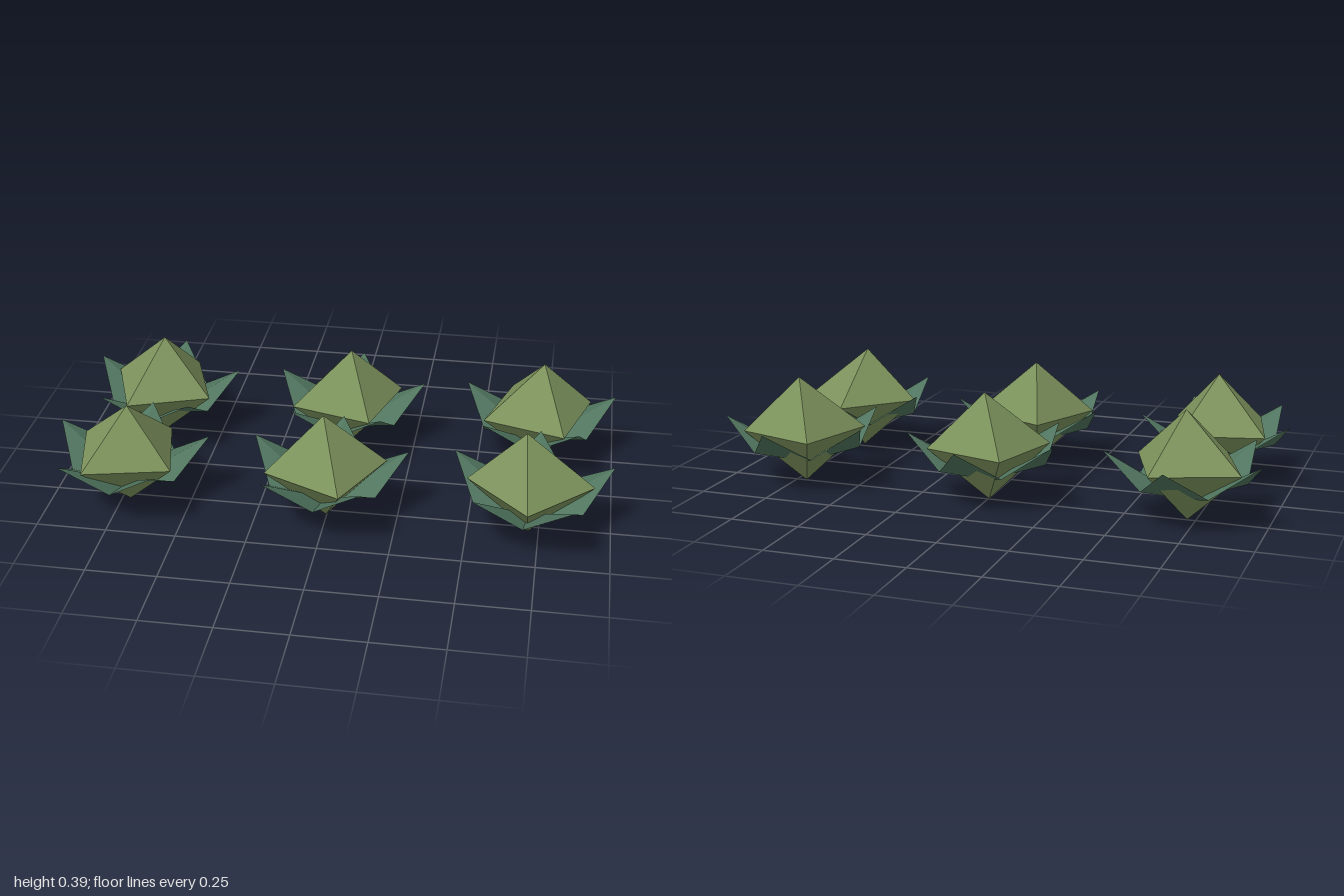
import * as THREE from 'three';

const headMat = new THREE.MeshStandardMaterial({ color: 0x7c925c, flatShading: true });
headMat.name = 'olive green';
const leafMat = new THREE.MeshStandardMaterial({ color: 0x50755f, flatShading: true, side: THREE.DoubleSide });
leafMat.name = 'blue green';

const rad = THREE.MathUtils.degToRad;

// point at a clockwise angle from the back, seen from above
const polar = (deg, r, y) => [r * Math.sin(rad(deg)), y, -r * Math.cos(rad(deg))];

// faceted head: an octahedron whose top point leans a little
function headGeometry(yaw, leanX, leanZ) {
  const g = new THREE.OctahedronGeometry(1, 0);
  g.scale(0.22, 0.194, 0.22);
  g.rotateY(-rad(yaw));
  g.translate(0, 0.196, 0);
  const p = g.attributes.position;
  for (let i = 0; i < p.count; i++) {
    if (p.getY(i) > 0.3) p.setXYZ(i, p.getX(i) + leanX, p.getY(i), p.getZ(i) + leanZ);
    if (p.getY(i) < 0.1) p.setY(i, 0);
  }
  g.computeVertexNormals();
  return g;
}

// one folded leaf: raised midrib, low side corners
function leafGeometry(deg) {
  const base = [0, 0.07, 0];
  const tip = polar(deg, 0.294, 0.241);
  const left = polar(deg - 36, 0.2, 0.13);
  const right = polar(deg + 36, 0.2, 0.13);
  const g = new THREE.BufferGeometry();
  g.setAttribute('position', new THREE.Float32BufferAttribute(
    [base, tip, left, base, right, tip].flat(), 3));
  g.computeVertexNormals();
  return g;
}

export function createModel() {
  const model = new THREE.Group();
  model.name = 'plantRows';
  // x, z, head yaw, lean of the top point
  const plants = [
    [-0.72, -0.247, 25, 0.01, -0.012],
    [-0.003, -0.247, -29, 0.012, -0.008],
    [0.713, -0.247, -28, 0.014, -0.006],
    [-0.72, 0.277, 32, 0.014, 0.016],
    [-0.003, 0.277, -20, -0.01, -0.018],
    [0.713, 0.277, 0, -0.022, 0],
  ];
  const leaves = [0, 1, 2, 3, 4].map((i) => leafGeometry(4 + 72 * i));

  for (const [x, z, yaw, leanX, leanZ] of plants) {
    const plant = new THREE.Group();
    plant.name = 'plant';
    const head = new THREE.Mesh(headGeometry(yaw, leanX, leanZ), headMat);
    head.name = 'head';
    plant.add(head);
    for (const g of leaves) {
      const leaf = new THREE.Mesh(g, leafMat);
      leaf.name = 'leaf';
      plant.add(leaf);
    }
    plant.position.set(x, 0, z);
    model.add(plant);
  }
  return model;
}
